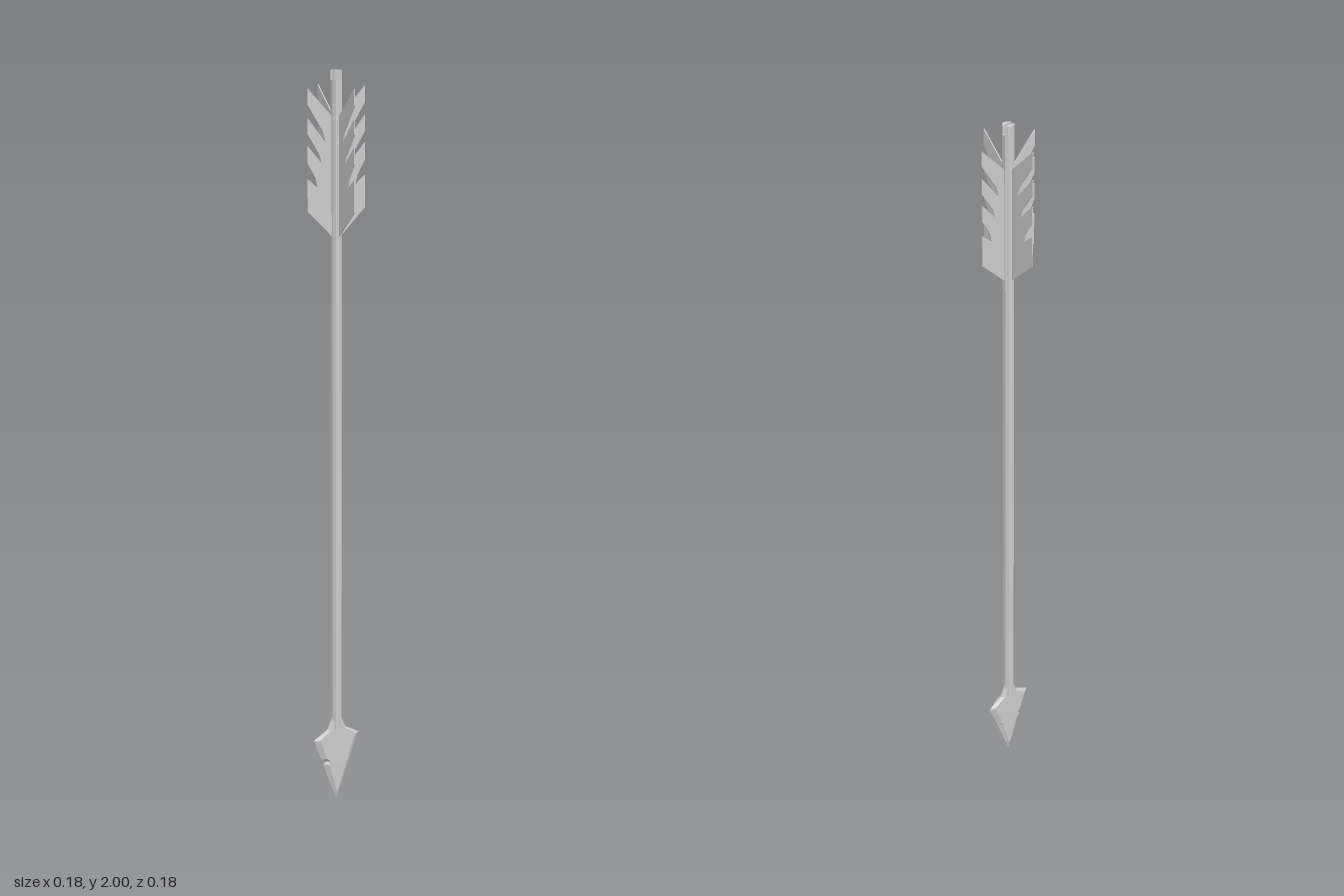
import * as THREE from 'three';

const material = new THREE.MeshStandardMaterial({ color: 0xcccccc, flatShading: true, side: THREE.DoubleSide });

function addMesh(parent, name, geometry) {
  const mesh = new THREE.Mesh(geometry, material);
  mesh.name = name;
  parent.add(mesh);
  return mesh;
}

// Skin equal-length rings of points into one closed solid.
function loft(rings) {
  const n = rings[0].length;
  const index = [];
  for (let r = 0; r < rings.length - 1; r++) {
    for (let i = 0; i < n; i++) {
      const a = r * n + i, b = r * n + (i + 1) % n;
      index.push(a, a + n, b, b, a + n, b + n);
    }
  }
  const top = (rings.length - 1) * n;
  for (let i = 1; i < n - 1; i++) index.push(top, top + i + 1, top + i);
  const geometry = new THREE.BufferGeometry();
  geometry.setAttribute('position', new THREE.Float32BufferAttribute(rings.flat(2), 3));
  geometry.setIndex(index);
  const flat = geometry.toNonIndexed();
  flat.computeVertexNormals();
  return flat;
}

// Blade with bevelled edges; one edge carries a small nick.
function arrowheadGeometry() {
  // height, -x half width, +x half width, bevel, half thickness
  const rows = [
    [0, 0, 0, 0, 0],
    [0.025, 0.010, 0.010, 0.008, 0.006],
    [0.108, 0.042, 0.042, 0.015, 0.009],
    [0.117, 0.034, 0.045, 0.012, 0.009],
    [0.126, 0.049, 0.049, 0.015, 0.009],
    [0.183, 0.072, 0.072, 0.016, 0.009],
    [0.191, 0.060, 0.060, 0.012, 0.009],
    [0.207, 0.030, 0.030, 0.008, 0.009],
    [0.230, 0.019, 0.019, 0.006, 0.009],
    [0.258, 0.010, 0.010, 0.004, 0.008],
  ];
  return loft(rows.map(([y, l, r, b, t]) => [
    [r, y, 0], [r - b, y, t], [b - l, y, t],
    [-l, y, 0], [b - l, y, -t], [r - b, y, -t],
  ]));
}

// Thin vane with swept, torn barbs.
function vaneGeometry() {
  const outline = [
    [0.005, 1.565], [0.014, 1.57], [0.088, 1.64], [0.088, 1.725],
    [0.058, 1.70], [0.064, 1.725], [0.088, 1.765], [0.088, 1.81],
    [0.045, 1.762], [0.052, 1.785], [0.088, 1.84], [0.088, 1.882],
    [0.033, 1.815], [0.042, 1.845], [0.088, 1.915], [0.088, 1.957],
    [0.014, 1.882], [0.005, 1.88],
  ];
  const shape = new THREE.Shape(outline.map(([x, y]) => new THREE.Vector2(x, y)));
  return new THREE.ExtrudeGeometry(shape, { depth: 0.003, bevelEnabled: false }).translate(0, 0, -0.0015);
}

export function createModel() {
  const arrow = new THREE.Group();
  arrow.name = 'arrow';
  const radius = 0.0155, shaftBottom = 0.207, shaftTop = 1.975;

  // Shaft
  addMesh(arrow, 'shaft', new THREE.CylinderGeometry(radius, radius, shaftTop - shaftBottom, 10))
    .position.y = (shaftTop + shaftBottom) / 2;

  // Two nock prongs with the string slot running along x
  for (const side of [1, -1]) {
    const points = [];
    for (let i = 0; i <= 5; i++) {
      const a = 0.28 + (Math.PI - 0.56) * i / 5;
      points.push(new THREE.Vector2(radius * Math.cos(a), radius * Math.sin(a)));
    }
    const prong = new THREE.ExtrudeGeometry(new THREE.Shape(points), { depth: 2 - shaftTop, bevelEnabled: false });
    prong.rotateX(-Math.PI / 2).rotateY(side > 0 ? Math.PI : 0).translate(0, shaftTop, 0);
    addMesh(arrow, side > 0 ? 'frontNockProng' : 'backNockProng', prong);
  }

  // Four vanes around the shaft
  const fletching = new THREE.Group();
  fletching.name = 'fletching';
  arrow.add(fletching);
  const vane = vaneGeometry();
  for (let i = 0; i < 4; i++) addMesh(fletching, 'vane', vane).rotation.y = i * Math.PI / 2;

  // Arrowhead
  addMesh(arrow, 'arrowhead', arrowheadGeometry());

  return arrow;
}
